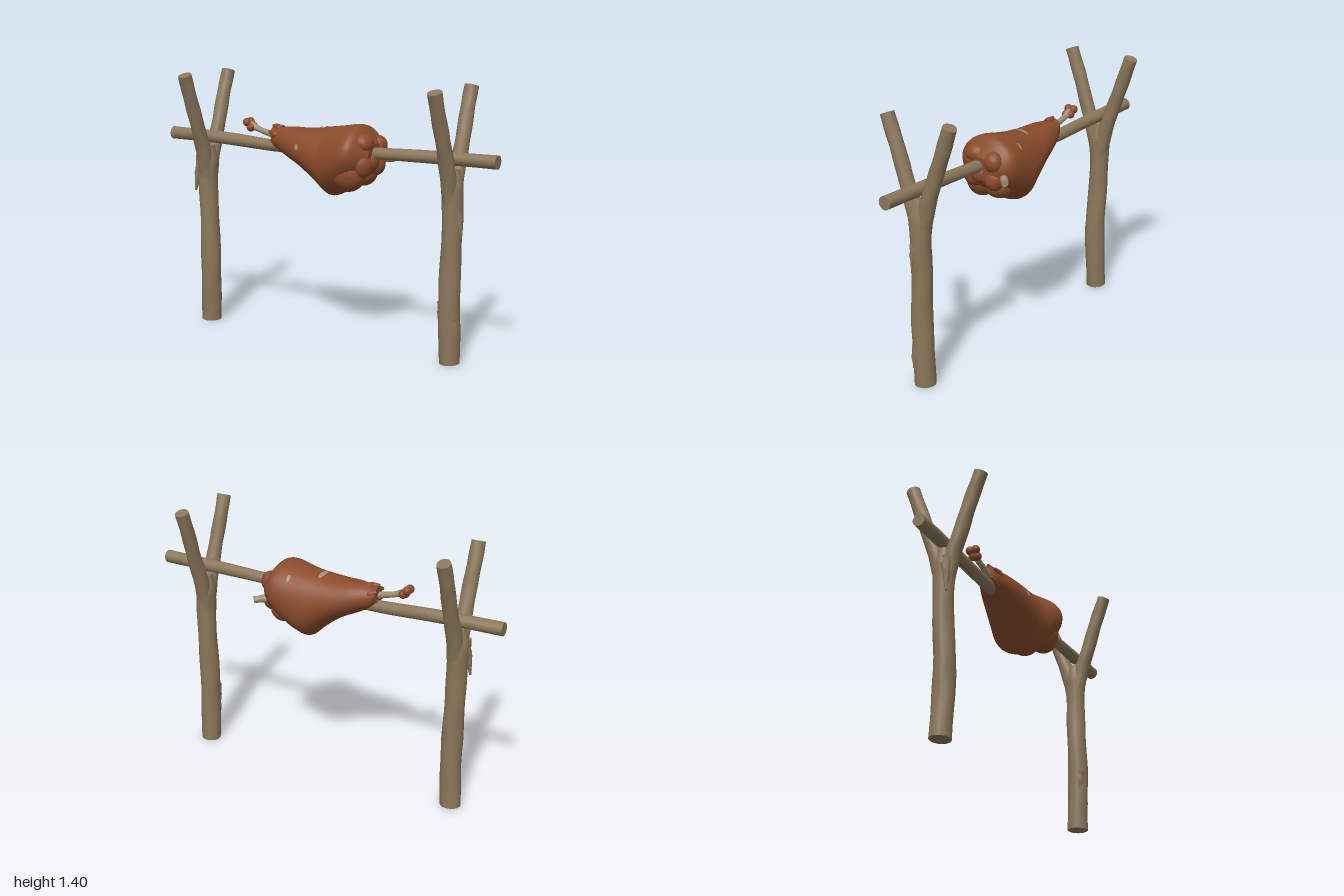
import * as THREE from 'three';
import { ParametricGeometry } from 'three/addons/geometries/ParametricGeometry.js';

const V = (x, y, z) => new THREE.Vector3(x, y, z);

const wood = new THREE.MeshStandardMaterial({ color: 0x8b775a });
wood.name = 'wood';
const meat = new THREE.MeshStandardMaterial({ color: 0x8a4b2b });
meat.name = 'roast meat';
const bone = new THREE.MeshStandardMaterial({ color: 0xa08d74 });
bone.name = 'bone';
const patchMat = new THREE.MeshStandardMaterial({ color: 0xa08d74, side: THREE.DoubleSide });
patchMat.name = 'pale spot';

function add(parent, name, geometry, material) {
  const mesh = new THREE.Mesh(geometry, material);
  mesh.name = name;
  parent.add(mesh);
  return mesh;
}

// Skins a list of equal rings and closes both ends with flat caps.
function loft(rings) {
  const n = rings[0].length, pos = [], idx = [];
  rings.forEach(r => r.forEach(p => pos.push(p.x, p.y, p.z)));
  for (let i = 0; i < rings.length - 1; i++) {
    for (let j = 0; j < n; j++) {
      const k = (j + 1) % n, a = i * n, b = a + n;
      idx.push(a + j, a + k, b + j, a + k, b + k, b + j);
    }
  }
  [rings[0], rings[rings.length - 1]].forEach((ring, end) => {
    const base = pos.length / 3;
    const c = ring.reduce((s, p) => s.add(p), V(0, 0, 0)).divideScalar(n);
    [c, ...ring].forEach(p => pos.push(p.x, p.y, p.z));
    for (let j = 0; j < n; j++) {
      const p = base + 1 + j, q = base + 1 + (j + 1) % n;
      if (end) idx.push(base, p, q); else idx.push(base, q, p);
    }
  });
  const g = new THREE.BufferGeometry();
  g.setAttribute('position', new THREE.Float32BufferAttribute(pos, 3));
  g.setIndex(idx);
  g.computeVertexNormals();
  return g;
}

// Slightly gnarled round stick; each point is [x, y, z, radius].
function stick(points, rough = 0.04, steps = 30, sides = 18) {
  const curve = new THREE.CatmullRomCurve3(points.map(p => V(p[0], p[1], p[2])));
  const rings = [];
  for (let i = 0; i <= steps; i++) {
    const t = i / steps, f = t * (points.length - 1);
    const k = Math.min(Math.floor(f), points.length - 2);
    const r = THREE.MathUtils.lerp(points[k][3], points[k + 1][3], f - k);
    const c = curve.getPoint(t), d = curve.getTangent(t);
    const a = (Math.abs(d.x) > 0.8 ? V(0, 1, 0) : V(1, 0, 0));
    a.addScaledVector(d, -a.dot(d)).normalize();
    const b = d.clone().cross(a);
    rings.push(Array.from({ length: sides }, (_, j) => {
      const w = j / sides * Math.PI * 2;
      const q = r * (1 + rough * (Math.sin(3 * w + t * 11) * 0.6 + Math.sin(2 * w - t * 23 + points[0][0] * 5) * 0.6));
      return c.clone().addScaledVector(a, q * Math.cos(w)).addScaledVector(b, q * Math.sin(w));
    }));
  }
  return loft(rings);
}

// Meat outline along x: [x, top, bottom, back z, front z]
const OUTLINE = [
  [-0.315, 1.125, 1.05, -0.045, 0.03], [-0.285, 1.12, 1.01, -0.065, 0.055],
  [-0.2, 1.13, 0.965, -0.1, 0.09], [-0.1, 1.13, 0.915, -0.13, 0.12],
  [0, 1.14, 0.84, -0.155, 0.138], [0.06, 1.15, 0.79, -0.17, 0.147],
  [0.13, 1.16, 0.81, -0.178, 0.165], [0.2, 1.172, 0.855, -0.18, 0.172],
  [0.245, 1.165, 0.89, -0.172, 0.16], [0.285, 1.12, 0.92, -0.14, 0.115],
  [0.315, 1.08, 0.96, -0.09, 0.075]];

// Point on the meat: t runs along x, w runs around (0 = top, PI/2 = front).
function meatPoint(t, w, lift = 0) {
  const n = OUTLINE.length - 1;
  const k = Math.min(Math.floor(t * n), n - 1), f = t * n - k;
  const at = i => OUTLINE[Math.max(0, Math.min(n, i))];
  const [x, top, bottom, back, front] = OUTLINE[0].map((_, c) => {
    const [p, q, r, s] = [at(k - 1)[c], at(k)[c], at(k + 1)[c], at(k + 2)[c]];
    return q + 0.5 * f * (r - p + f * (2 * p - 5 * q + 4 * r - s + f * (3 * (q - r) + s - p)));
  });
  const bump = 1 + 0.025 * Math.sin(3 * w + t * 5) * Math.sin(t * Math.PI);
  const ry = (top - bottom) / 2 + lift, rz = (front - back) / 2 + lift;
  return V(x, (top + bottom) / 2 + ry * Math.cos(w),
    (front + back) / 2 + rz * Math.sin(w) * bump);
}

// Forked post; side is -1 or 1 along x.
function forkedPost(side) {
  const g = new THREE.Group();
  g.name = side < 0 ? 'rightForkedPost' : 'leftForkedPost';
  const x = 0.755 * side, bend = side < 0 ? 0.01 : 0;
  add(g, 'trunk', stick([
    [x, 0, -0.002, 0.054], [x + bend, 0.2, 0.004, 0.055], [x + bend, 0.38, 0.006, 0.055],
    [x, 0.58, 0, 0.052], [x + 0.005 * side, 0.75, 0, 0.052],
    [x + 0.003 * side, 0.9, 0, 0.056], [x, 0.99, 0, 0.036]]), wood);
  for (const s of [-1, 1]) {
    add(g, 'forkLimb', stick([
      [x, 0.8, s * 0.008, 0.042], [x, 0.93, s * 0.035, 0.042],
      [x, 1.1, s * 0.093, 0.038], [x - 0.002, 1.25, s * 0.145, 0.037],
      [x - 0.002, 1.385, s * 0.194, 0.036]]), wood);
  }
  return g;
}

// Peeling bark: a tapered thin plate.
function barkFlap(parent, from, to, width) {
  add(parent, 'barkFlap', stick([[...from, width], [...from.map((v, i) => (v + to[i]) / 2), width * 0.8],
    [...to, width * 0.25]], 0.15, 6, 8), wood);
}

export function createModel() {
  const model = new THREE.Group();
  model.name = 'roastingSpit';

  // Posts with bark and knots
  const near = forkedPost(-1), far = forkedPost(1);
  model.add(near, far);
  barkFlap(near, [-0.79, 0.93, 0.025], [-0.813, 0.735, 0.045], 0.024);
  barkFlap(near, [-0.73, 0.36, 0.03], [-0.72, 0.2, 0.035], 0.03);
  barkFlap(far, [0.8, 0.77, 0.01], [0.815, 0.66, 0.012], 0.018);
  barkFlap(far, [0.788, 0.22, 0.02], [0.805, 0.1, 0.025], 0.024);
  barkFlap(far, [0.73, 0.32, 0.03], [0.715, 0.2, 0.03], 0.026);

  // Pole laid across the forks
  add(model, 'spitPole', stick([
    [-1, 1.037, -0.006, 0.034], [-0.65, 1.033, -0.008, 0.034], [-0.3, 1.018, -0.006, 0.031],
    [0.05, 1.02, 0, 0.03], [0.35, 1.033, 0.004, 0.031], [0.7, 1.042, 0.003, 0.033],
    [1, 1.046, 0, 0.035]], 0.03, 48), wood);

  // Roast leg
  const roast = new THREE.Group();
  roast.name = 'roastLeg';
  model.add(roast);
  const rings = Array.from({ length: 41 }, (_, i) =>
    Array.from({ length: 36 }, (_, j) => meatPoint(i / 40, j / 36 * Math.PI * 2)));
  add(roast, 'meatBody', loft(rings), meat);

  // Folded lumps at the thick end: centre, radii, tilt
  [[0.19, 0.93, 0.065, 0.095, 0.1, 0.085, 0.5], [0.265, 0.98, 0.06, 0.06, 0.075, 0.06, 0.2],
    [0.27, 1.085, 0.045, 0.055, 0.05, 0.06, -0.4], [0.285, 1.06, -0.075, 0.05, 0.055, 0.05, 0],
    [0.27, 0.97, -0.07, 0.055, 0.065, 0.055, 0.3], [0.3, 0.99, 0.01, 0.035, 0.05, 0.05, 0],
    [0.22, 0.91, -0.05, 0.07, 0.06, 0.075, 0.5]].forEach(([x, y, z, a, b, c, tilt]) => {
    const lump = add(roast, 'meatFold', new THREE.SphereGeometry(1, 20, 14), meat);
    lump.position.set(x, y, z);
    lump.scale.set(a, b, c);
    lump.rotation.z = tilt;
  });

  // Ragged skin around the shank
  for (let i = 0; i < 5; i++) {
    const w = i / 5 * Math.PI * 2, c = Math.cos(w), s = Math.sin(w);
    add(roast, 'skinTatter', stick([
      [-0.26, 1.065 + 0.045 * c, 0.045 * s, 0.024], [-0.29, 1.078 + 0.043 * c, 0.043 * s, 0.018],
      [-0.318, 1.088 + 0.042 * c, 0.04 * s, 0.006]], 0.1, 6, 8), meat);
  }

  // Shank bone with a two-lobed knuckle
  add(roast, 'shankBone', stick([
    [-0.26, 1.06, 0, 0.022], [-0.34, 1.082, 0, 0.017], [-0.41, 1.1, 0, 0.015],
    [-0.465, 1.122, 0, 0.022]], 0.03, 14, 12), bone);
  [[-0.478, 1.135, 0.016], [-0.478, 1.135, -0.016], [-0.455, 1.108, 0.014], [-0.455, 1.112, -0.012]].forEach(p => {
    const knob = add(roast, 'knuckle', new THREE.SphereGeometry(0.023, 14, 10), meat);
    knob.position.set(...p);
  });

  // Broken bone stub at the thick end
  add(roast, 'boneStub', stick([
    [0.23, 0.99, -0.09, 0.021], [0.28, 0.986, -0.135, 0.021], [0.325, 0.982, -0.175, 0.018]], 0.08, 6, 10), bone);

  // Pale spots on the skin: centre t and w, half sizes
  [[0.395, -0.13, 0.016, 0.3], [0.31, 1.35, 0.012, 0.13], [0.62, -0.75, 0.012, 0.12]].forEach(([t, w, dt, dw]) => {
    add(roast, 'paleSpot', new ParametricGeometry((u, v, out) => {
      const a = u * Math.PI * 2;
      out.copy(meatPoint(t + dt * v * Math.cos(a), w + dw * v * Math.sin(a), 0.004));
    }, 16, 4), patchMat);
  });

  return model;
}
